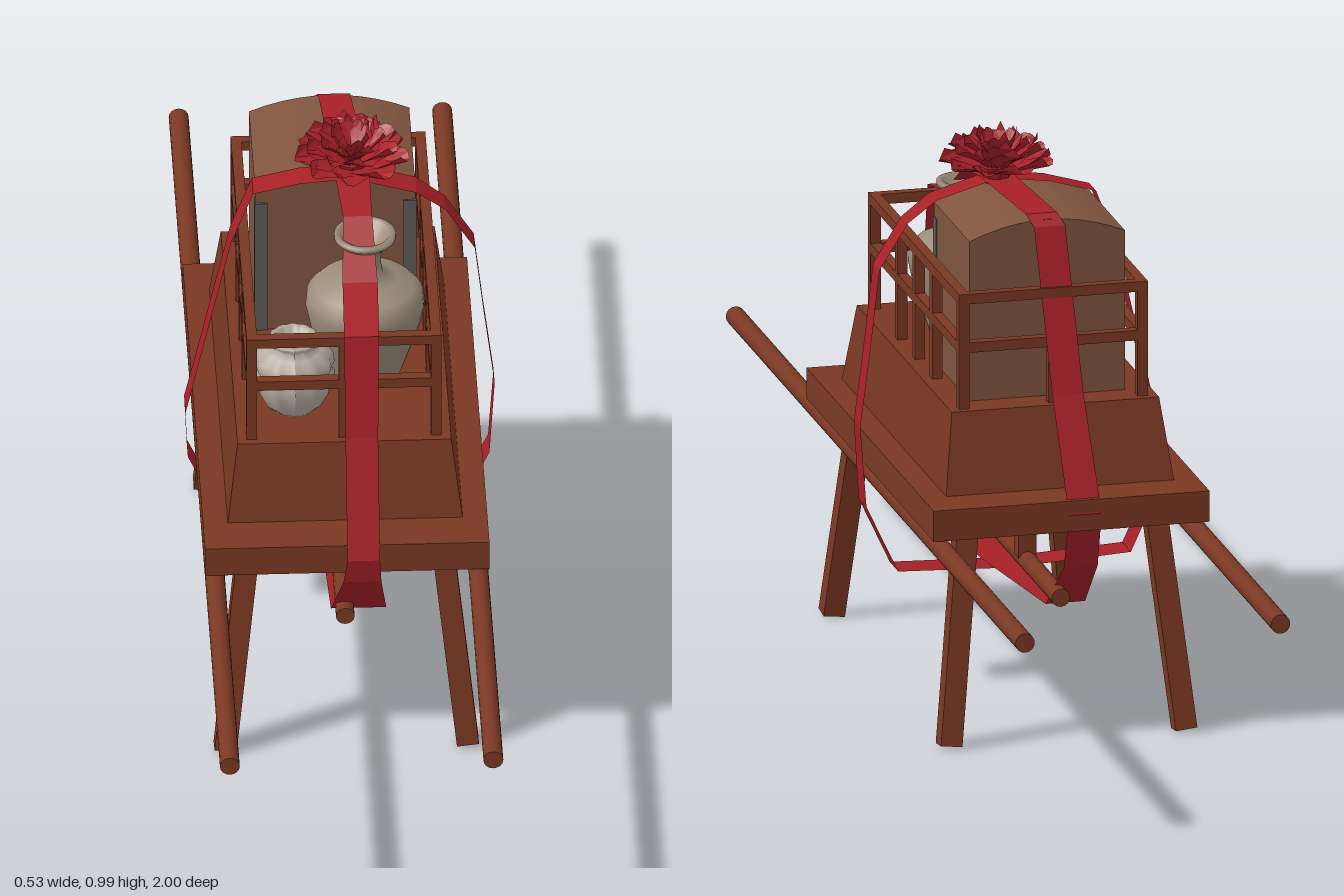
import * as THREE from 'three';

const CX = -0.008; // centre line of the wooden frame

export function createModel() {
  const root = new THREE.Group();
  const mat = (name, color, opts = {}) => {
    const m = new THREE.MeshStandardMaterial({ color, ...opts });
    m.name = name;
    return m;
  };
  const wood = mat('reddish wood', 0x7a3823);
  const chestWood = mat('chest wood', 0x80553f);
  const metal = mat('grey metal', 0x5e5a58);
  const clay = mat('tan clay', 0x9c8c7a);
  const pale = mat('pale ceramic', 0xb5aaa0);
  const silk = mat('red silk', 0xa62027, { side: THREE.DoubleSide, flatShading: true });

  const add = (name, geo, material, parent = root) => {
    const mesh = new THREE.Mesh(geo, material);
    mesh.name = name;
    parent.add(mesh);
    return mesh;
  };
  const group = (name) => {
    const g = new THREE.Group();
    g.name = name;
    root.add(g);
    return g;
  };
  const box = (name, w, h, d, x, y, z, material = wood, parent = root) => {
    const m = add(name, new THREE.BoxGeometry(w, h, d), material, parent);
    m.position.set(x, y, z);
    return m;
  };

  // Table top and the tapered plinth on it
  box('tableTop', 0.488, 0.055, 0.878, CX, 0.4075, 0);
  const plinth = new THREE.BoxGeometry(0.403, 0.14, 0.72);
  const pp = plinth.attributes.position;
  for (let i = 0; i < pp.count; i++) {
    if (pp.getY(i) > 0) pp.setXYZ(i, pp.getX(i) * 0.91, pp.getY(i), pp.getZ(i) * 0.91);
  }
  plinth.computeVertexNormals();
  add('plinth', plinth, wood).position.set(CX, 0.505, 0);

  // Splayed legs
  const legs = group('legs');
  for (const sx of [-1, 1]) for (const sz of [-1, 1]) {
    const foot = new THREE.Vector3(CX + sx * 0.208, 0.004, sz * 0.405);
    const top = new THREE.Vector3(CX + sx * 0.166, 0.39, sz * 0.358);
    const leg = add('leg', new THREE.BoxGeometry(0.038, foot.distanceTo(top), 0.036), wood, legs);
    leg.position.copy(foot).lerp(top, 0.5);
    leg.quaternion.setFromUnitVectors(new THREE.Vector3(0, 1, 0), top.sub(foot).normalize());
  }

  // Carrying poles, lower stretcher and its hangers
  const rod = (name, r, len, x, y, z) => {
    const m = add(name, new THREE.CylinderGeometry(r, r, len, 16), wood);
    m.rotation.x = Math.PI / 2;
    m.position.set(x, y, z);
  };
  for (const s of [-1, 1]) rod('carryingPole', 0.017, 2, CX + s * 0.226, 0.362, 0);
  rod('stretcher', 0.016, 0.73, CX, 0.24, 0);
  for (const z of [-0.12, 0.12]) box('hanger', 0.032, 0.14, 0.032, CX, 0.315, z);

  // Railing
  const railing = group('railing');
  const RX = 0.158, RZ = 0.305, T = 0.018;
  for (const y of [0.771, 0.684]) for (const s of [-1, 1]) {
    box('sideRail', T, T, RZ * 2 + T, CX + s * RX, y, 0, wood, railing);
    box('endRail', RX * 2 - T, T, T, CX, y, s * RZ, wood, railing);
  }
  for (const s of [-1, 1]) {
    for (const z of [-RZ, -0.12, 0, 0.12, RZ]) box('post', T, 0.19, T, CX + s * RX, 0.668, z, wood, railing);
    box('endPost', T, 0.19, T, CX, 0.668, s * RZ, wood, railing);
  }

  // Arched chest with metal corner strips
  const chest = group('chest');
  const W = 0.1375;
  const outline = new THREE.Shape();
  outline.moveTo(-W, 0.572);
  outline.lineTo(W, 0.572);
  outline.lineTo(W, 0.86);
  outline.quadraticCurveTo(0, 0.92, -W, 0.86);
  const chestGeo = new THREE.ExtrudeGeometry(outline, { depth: 0.245, bevelEnabled: false, curveSegments: 10 });
  add('chestBody', chestGeo, chestWood, chest).position.set(CX, 0, -0.27);
  for (const s of [-1, 1]) {
    box('cornerStrip', 0.022, 0.262, 0.006, CX + s * 0.1275, 0.704, -0.024, metal, chest);
    box('cornerStrip', 0.004, 0.262, 0.022, CX + s * 0.137, 0.704, -0.034, metal, chest);
  }

  // Tall vase
  const lathe = (pts, seg) => new THREE.LatheGeometry(pts.map(([r, y]) => new THREE.Vector2(r, y)), seg);
  add('tallVase', lathe([
    [0, 0], [0.062, 0], [0.066, 0.012], [0.08, 0.055], [0.095, 0.1], [0.102, 0.135], [0.1, 0.158],
    [0.085, 0.174], [0.055, 0.186], [0.031, 0.197], [0.027, 0.22], [0.029, 0.245], [0.04, 0.258],
    [0.053, 0.27], [0.053, 0.278], [0.042, 0.278], [0.022, 0.25], [0, 0.245],
  ], 32), clay).position.set(0.037, 0.577, 0.105);

  // Fluted jar
  const jar = lathe([
    [0, 0], [0.036, 0], [0.05, 0.015], [0.065, 0.045], [0.069, 0.07], [0.062, 0.078], [0.068, 0.09],
    [0.066, 0.108], [0.048, 0.12], [0.036, 0.126], [0.042, 0.136], [0.042, 0.141], [0.03, 0.141], [0.026, 0.12], [0, 0.118],
  ], 48);
  const jp = jar.attributes.position;
  for (let i = 0; i < jp.count; i++) {
    const x = jp.getX(i), z = jp.getZ(i), k = 1 + 0.03 * Math.cos(12 * Math.atan2(z, x));
    jp.setXYZ(i, x * k, jp.getY(i), z * k);
  }
  jar.computeVertexNormals();
  add('flutedJar', jar, pale).position.set(-0.09, 0.577, 0.215);

  // Strip of cloth through rows of [x, y, z, width], widened along one axis
  const ribbon = (name, rows, axis) => {
    const pos = [], idx = [];
    rows.forEach(([x, y, z, w], i) => {
      for (const s of [-0.5, 0.5]) pos.push(x + s * w * axis[0], y, z + s * w * axis[2]);
      const a = i * 2;
      if (i < rows.length - 1) idx.push(a, a + 1, a + 2, a + 1, a + 3, a + 2);
    });
    const g = new THREE.BufferGeometry();
    g.setAttribute('position', new THREE.Float32BufferAttribute(pos, 3));
    g.setIndex(idx);
    g.computeVertexNormals();
    add(name, g, silk);
  };
  ribbon('lengthwiseRibbon', [
    [0.02, 0.9, -0.02, 0.06], [0.025, 0.88, 0.09, 0.05], [0.025, 0.81, 0.19, 0.06], [0.022, 0.785, 0.32, 0.06],
    [0.02, 0.61, 0.37, 0.056], [0.02, 0.41, 0.45, 0.056], [0.018, 0.36, 0.44, 0.065], [0.017, 0.22, 0.31, 0.095],
    [0, 0.208, 0, 0.08], [-0.035, 0.208, -0.29, 0.07], [-0.038, 0.3, -0.385, 0.06], [-0.032, 0.41, -0.44, 0.058],
    [-0.022, 0.6, -0.36, 0.055], [-0.01, 0.88, -0.28, 0.055], [0, 0.899, -0.26, 0.055], [0.02, 0.9, -0.02, 0.06],
  ], [1, 0, 0]);
  ribbon('crosswiseRibbon', [
    [0.02, 0.9, -0.02, 0.05], [-0.07, 0.889, -0.025, 0.05], [-0.15, 0.867, -0.03, 0.05], [-0.187, 0.77, -0.03, 0.05],
    [-0.25, 0.49, -0.03, 0.052], [-0.266, 0.42, -0.03, 0.055], [-0.262, 0.33, -0.03, 0.055], [-0.21, 0.218, -0.03, 0.06],
    [0, 0.205, -0.025, 0.065], [0.2, 0.212, -0.025, 0.06], [0.255, 0.33, -0.022, 0.055], [0.264, 0.47, -0.02, 0.045],
    [0.245, 0.62, -0.02, 0.045], [0.23, 0.75, -0.02, 0.045], [0.18, 0.83, -0.02, 0.045], [0.13, 0.868, -0.02, 0.05],
    [0.02, 0.9, -0.02, 0.05],
  ], [0, 0, 1]);

  // Bow flower: rings of cupped, ruffled petals
  const flower = group('flower');
  flower.position.set(0.02, 0.898, -0.03);
  const petal = (len, width, lift) => {
    const g = new THREE.PlaneGeometry(1, 1, 4, 4);
    const p = g.attributes.position;
    for (let i = 0; i < p.count; i++) {
      const u = p.getX(i) * 2, t = p.getY(i) + 0.5;
      const w = width * Math.sin(Math.PI * (0.12 + 0.68 * t));
      const r = len * t * (1 - 0.12 * u * u);
      const y = lift * Math.pow(t, 0.8) + 0.012 * t * u * u + 0.005 * t * Math.sin(u * 5);
      p.setXYZ(i, u * w, y, r);
    }
    g.computeVertexNormals();
    return g;
  };
  [[9, 0.1, 0.038, 0.025, 0.005], [8, 0.088, 0.034, 0.045, 0.012], [7, 0.066, 0.028, 0.052, 0.017], [5, 0.036, 0.022, 0.055, 0.018]]
    .forEach(([n, len, width, lift, y], ring) => {
      const geo = petal(len, width, lift);
      for (let i = 0; i < n; i++) {
        const m = add('petal', geo, silk, flower);
        m.rotation.y = (i / n) * Math.PI * 2 + ring * 0.4;
        m.position.y = y;
        m.scale.setScalar(1 - 0.1 * ((i * 3 + ring) % 3) / 2);
      }
    });
  add('flowerKnot', new THREE.CylinderGeometry(0.03, 0.02, 0.03, 8), silk, flower).position.y = 0.006;

  return root;
}
